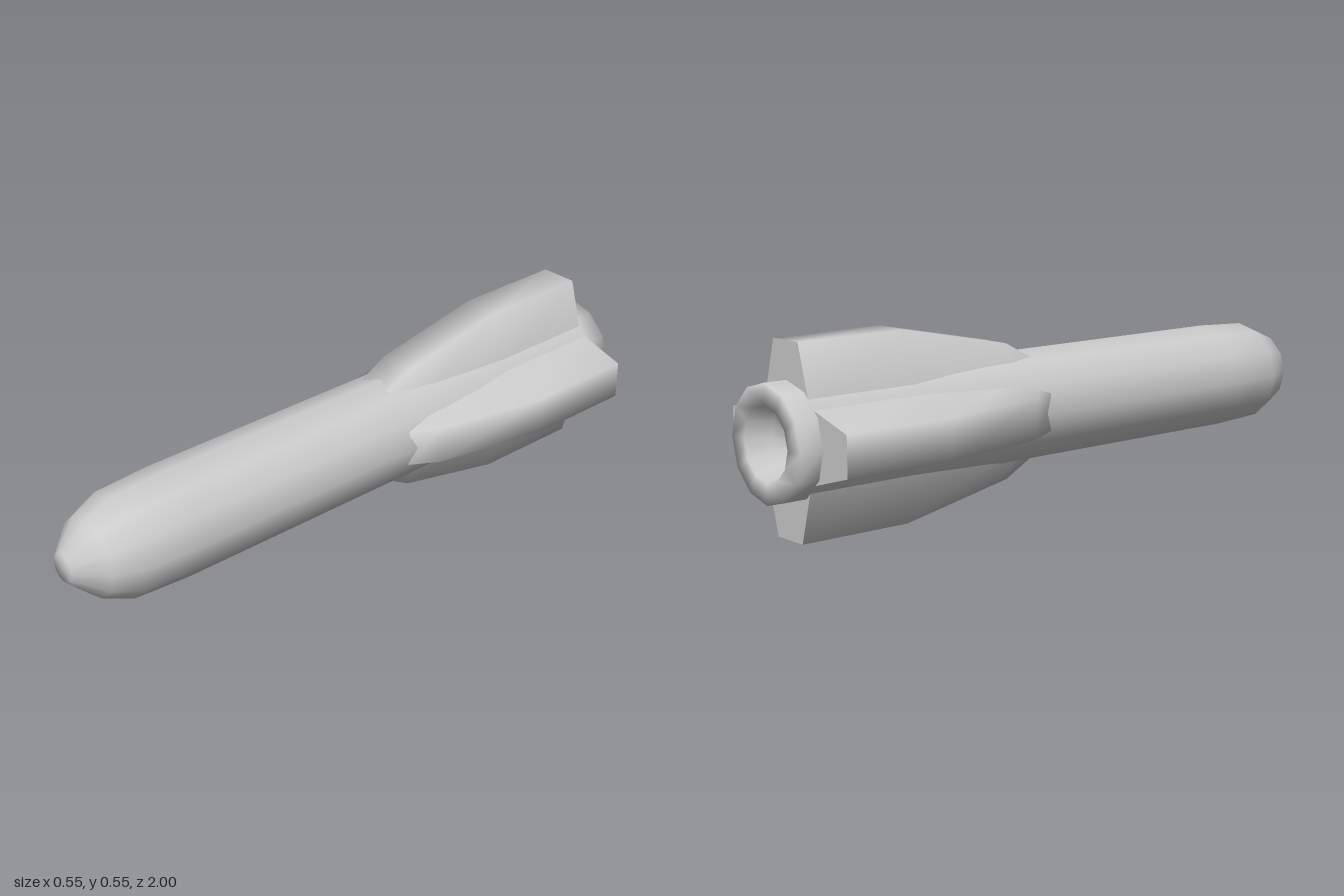
import * as THREE from 'three';

const CENTRE_Y = 0.273;
const material = new THREE.MeshStandardMaterial({ color: 0xcccccc });

// Twelve-sided tube with a rounded nose and a hollow tail
function makeBody() {
  const profile = [
    [0, -0.9], [0.085, -0.93], [0.105, -1], [0.166, -1], [0.166, -0.93],
    [0.166, 0.65], [0.157, 0.83], [0.12, 0.92], [0.043, 1], [0, 1],
  ].map(([r, z]) => new THREE.Vector2(r, z));
  const geometry = new THREE.LatheGeometry(profile, 12);
  geometry.rotateX(Math.PI / 2);
  const body = new THREE.Mesh(geometry, material);
  body.name = 'body';
  return body;
}

// Thick fin lofted through trapezoid sections, front to back
function makeFinGeometry() {
  const rootRadius = 0.1;
  // z, tip radius, tip half width, root half width
  const sections = [
    [-0.13, 0.153, 0.055, 0.08],
    [-0.22, 0.2, 0.058, 0.097],
    [-0.58, 0.273, 0.058, 0.108],
    [-0.93, 0.273, 0.058, 0.108],
  ];
  const positions = [];
  const indices = [];
  const addSection = ([z, tip, tipHalf, rootHalf]) => {
    positions.push(-rootHalf, rootRadius, z, -tipHalf, tip, z, tipHalf, tip, z, rootHalf, rootRadius, z);
  };
  sections.forEach(addSection);
  for (let s = 0; s < sections.length - 1; s++) {
    for (let i = 0; i < 3; i++) {
      const a = s * 4 + i;
      indices.push(a, a + 1, a + 4, a + 1, a + 5, a + 4);
    }
  }
  // End caps have their own corners so their edges stay sharp
  const front = positions.length / 3;
  addSection(sections[0]);
  indices.push(front, front + 3, front + 2, front, front + 2, front + 1);
  const back = positions.length / 3;
  addSection(sections[sections.length - 1]);
  indices.push(back, back + 2, back + 3, back, back + 1, back + 2);

  const geometry = new THREE.BufferGeometry();
  geometry.setAttribute('position', new THREE.Float32BufferAttribute(positions, 3));
  geometry.setIndex(indices);
  geometry.computeVertexNormals();
  return geometry;
}

export function createModel() {
  const model = new THREE.Group();
  model.name = 'rocket';
  const rocket = new THREE.Group();
  rocket.name = 'fuselage';
  rocket.position.y = CENTRE_Y;
  rocket.add(makeBody());

  // Four fins around the tail
  const finGeometry = makeFinGeometry();
  ['topFin', 'rightFin', 'bottomFin', 'leftFin'].forEach((name, i) => {
    const fin = new THREE.Mesh(finGeometry, material);
    fin.name = name;
    fin.rotation.z = i * Math.PI / 2;
    rocket.add(fin);
  });

  model.add(rocket);
  return model;
}
